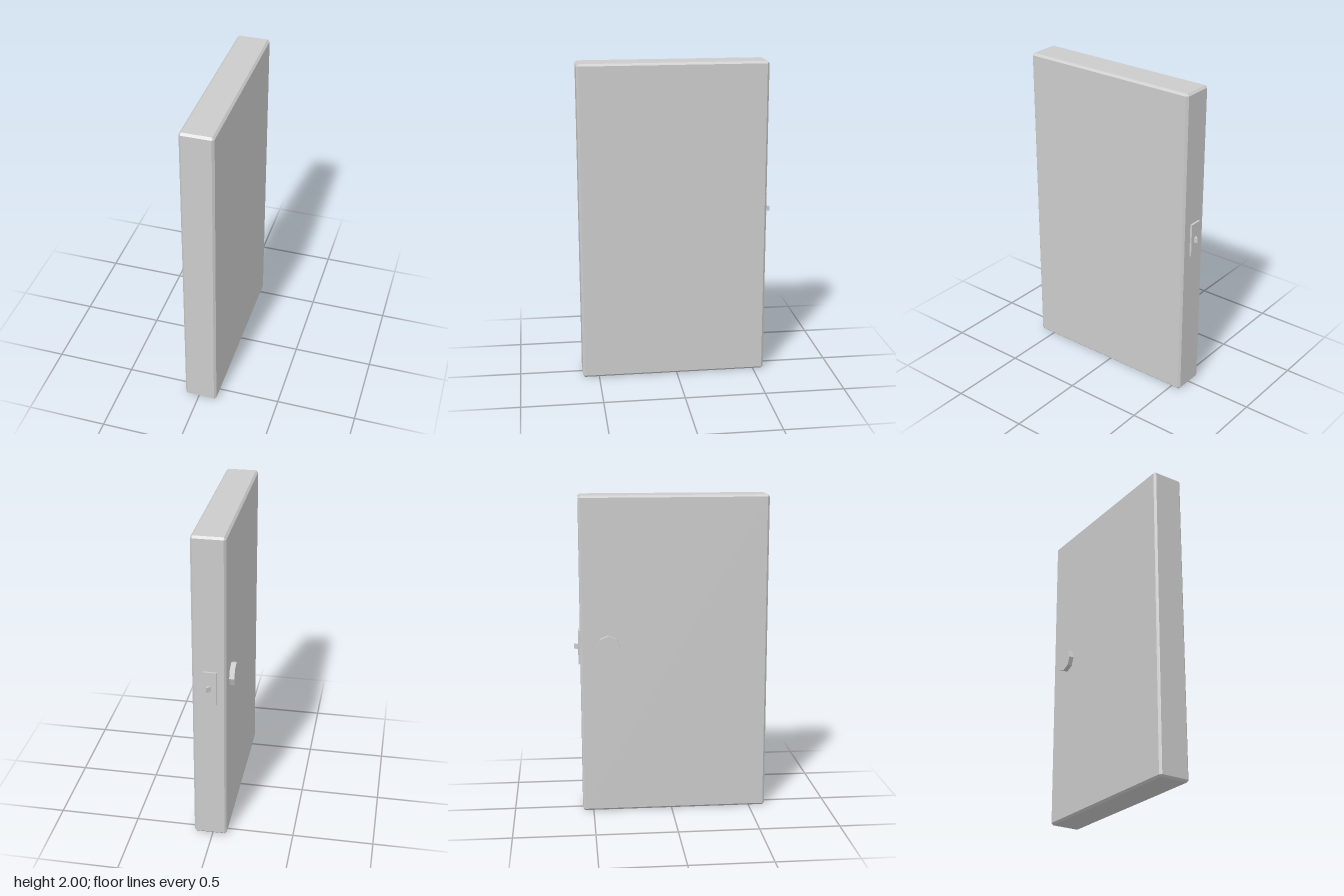
import * as THREE from 'three';
import { ConvexGeometry } from 'three/addons/geometries/ConvexGeometry.js';

const material = new THREE.MeshStandardMaterial({ color: 0xcccccc, flatShading: true });

// Box with every edge and corner chamfered by c
function chamferedBox(w, h, d, c) {
  const points = [];
  for (const sx of [-1, 1]) for (const sy of [-1, 1]) for (const sz of [-1, 1]) {
    const x = w / 2, y = h / 2, z = d / 2;
    points.push(
      new THREE.Vector3(sx * x, sy * (y - c), sz * (z - c)),
      new THREE.Vector3(sx * (x - c), sy * y, sz * (z - c)),
      new THREE.Vector3(sx * (x - c), sy * (y - c), sz * z)
    );
  }
  return new ConvexGeometry(points);
}

export function createModel() {
  const group = new THREE.Group();
  const add = (name, geometry, x, y, z) => {
    const mesh = new THREE.Mesh(geometry, material);
    mesh.name = name;
    mesh.position.set(x, y, z);
    group.add(mesh);
    return mesh;
  };

  // Door slab
  add('doorPanel', chamferedBox(0.204, 2, 1.17, 0.013), 0.014, 1, 0.018);

  // Eight-sided knob on the right face
  const knob = new THREE.CylinderGeometry(0.073, 0.073, 0.035, 8).rotateZ(Math.PI / 2);
  add('doorKnob', knob, -0.1015, 1.069, -0.396);

  // Strike plate on the back edge
  add('latchPlate', new THREE.BoxGeometry(0.083, 0.211, 0.018), 0.008, 1.056, -0.571);

  // Wedge-shaped latch bolt: drawn in plan, extruded upwards
  const wedge = new THREE.Shape();
  wedge.moveTo(-0.001, 0.579);
  wedge.lineTo(0.025, 0.579);
  wedge.lineTo(0.025, 0.605);
  const bolt = new THREE.ExtrudeGeometry(wedge, { depth: 0.032, bevelEnabled: false });
  add('latchBolt', bolt.rotateX(-Math.PI / 2), 0, 1.039, 0);

  return group;
}
